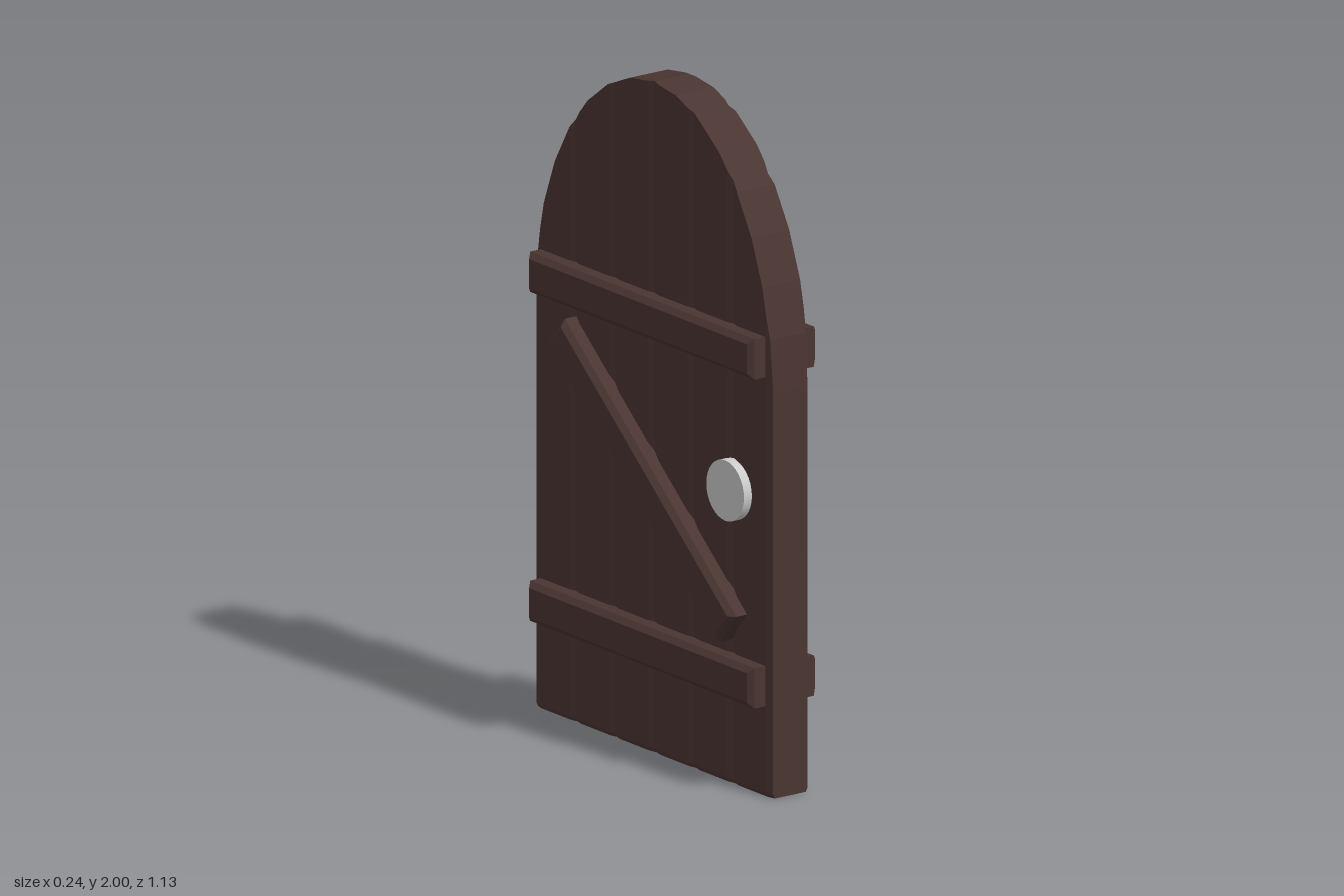
import * as THREE from 'three';

const HALF = 0.563, SPRING = 1.21, RISE = 0.79;   // door half width, arch start, arch rise
const PLANK = HALF / 3, BEVEL = 0.025;            // six planks with bevelled edges

const wood = new THREE.MeshStandardMaterial({ color: 0x4a3532, flatShading: true });
const metal = new THREE.MeshStandardMaterial({ color: 0xcccccc });

// Corners of the faceted elliptical arch, from -z to +z
const arch = Array.from({ length: 17 }, (_, i) => {
  const a = Math.PI * i / 16;
  return { z: -HALF * Math.cos(a), y: SPRING + RISE * Math.sin(a) };
});

function topAt(z) {
  for (let i = 1; i < arch.length; i++) {
    const p = arch[i - 1], q = arch[i];
    if (z <= q.z + 1e-6) return p.y + (q.y - p.y) * (z - p.z) / (q.z - p.z);
  }
  return SPRING;
}

// Half thickness dips at each joint between planks
function thicknessAt(z) {
  const d = Math.abs(z - Math.round(z / PLANK) * PLANK);
  return 0.061 + 0.006 * Math.min(1, d / BEVEL);
}

// Slab lofted along z through upright cross-sections
function slabGeometry() {
  const stops = arch.map(p => p.z);
  for (let k = -3; k <= 3; k++)
    for (const o of [-BEVEL, 0, BEVEL])
      if (Math.abs(k * PLANK + o) <= HALF) stops.push(k * PLANK + o);
  stops.sort((a, b) => a - b);
  const zs = stops.filter((z, i) => i === 0 || z - stops[i - 1] > 1e-5);
  const rings = zs.map(z => {
    const h = thicknessAt(z), t = topAt(z), b = h - 0.006;
    return [[b, 0], [h, 0.012], [h, t], [-h, t], [-h, 0.012], [-b, 0]].map(([x, y]) => [x, y, z]);
  });
  const pos = [];
  const tri = (...pts) => pts.forEach(p => pos.push(...p));
  for (let i = 0; i + 1 < rings.length; i++) {
    for (let k = 0; k < 6; k++) {
      const n = (k + 1) % 6;
      const a = rings[i][k], b = rings[i][n], c = rings[i + 1][n], d = rings[i + 1][k];
      tri(a, b, c);
      tri(a, c, d);
    }
  }
  const first = rings[0], last = rings[rings.length - 1];
  for (let k = 1; k < 5; k++) {
    tri(first[0], first[k + 1], first[k]);
    tri(last[0], last[k], last[k + 1]);
  }
  const g = new THREE.BufferGeometry();
  g.setAttribute('position', new THREE.Float32BufferAttribute(pos, 3));
  g.computeVertexNormals();
  return g;
}

// Bevelled batten lying against one face of the door (side is +1 or -1 in x)
function batten(name, y, angle, side) {
  const c = 0.016, w = 0.534 - c, h = 0.06 - c;
  const shape = new THREE.Shape([
    new THREE.Vector2(-w, -h), new THREE.Vector2(w, -h),
    new THREE.Vector2(w, h), new THREE.Vector2(-w, h),
  ]);
  const g = new THREE.ExtrudeGeometry(shape, {
    depth: 0.075, bevelEnabled: true, bevelSize: c, bevelThickness: c, bevelSegments: 1,
  });
  g.rotateZ(angle * side).rotateY(side * Math.PI / 2).translate(side * 0.03, y, 0);
  const mesh = new THREE.Mesh(g, wood);
  mesh.name = name;
  return mesh;
}

function knob(side) {
  const g = new THREE.CylinderGeometry(0.09, 0.09, 0.06, 32);
  g.rotateZ(Math.PI / 2).translate(side * 0.065, 0.88, 0.38);
  const mesh = new THREE.Mesh(g, metal);
  mesh.name = 'knob';
  return mesh;
}

export function createModel() {
  const door = new THREE.Group();
  door.name = 'archedDoor';
  const slab = new THREE.Mesh(slabGeometry(), wood);
  slab.name = 'plankSlab';
  door.add(slab);

  // Same fittings on both faces
  for (const side of [1, -1]) {
    const fittings = new THREE.Group();
    fittings.name = side > 0 ? 'leftFittings' : 'rightFittings';
    fittings.add(
      batten('lowerBatten', 0.33, 0, side),
      batten('upperBatten', 1.31, 0, side),
      batten('diagonalBrace', 0.82, 0.70, side),
      knob(side),
    );
    door.add(fittings);
  }
  return door;
}
